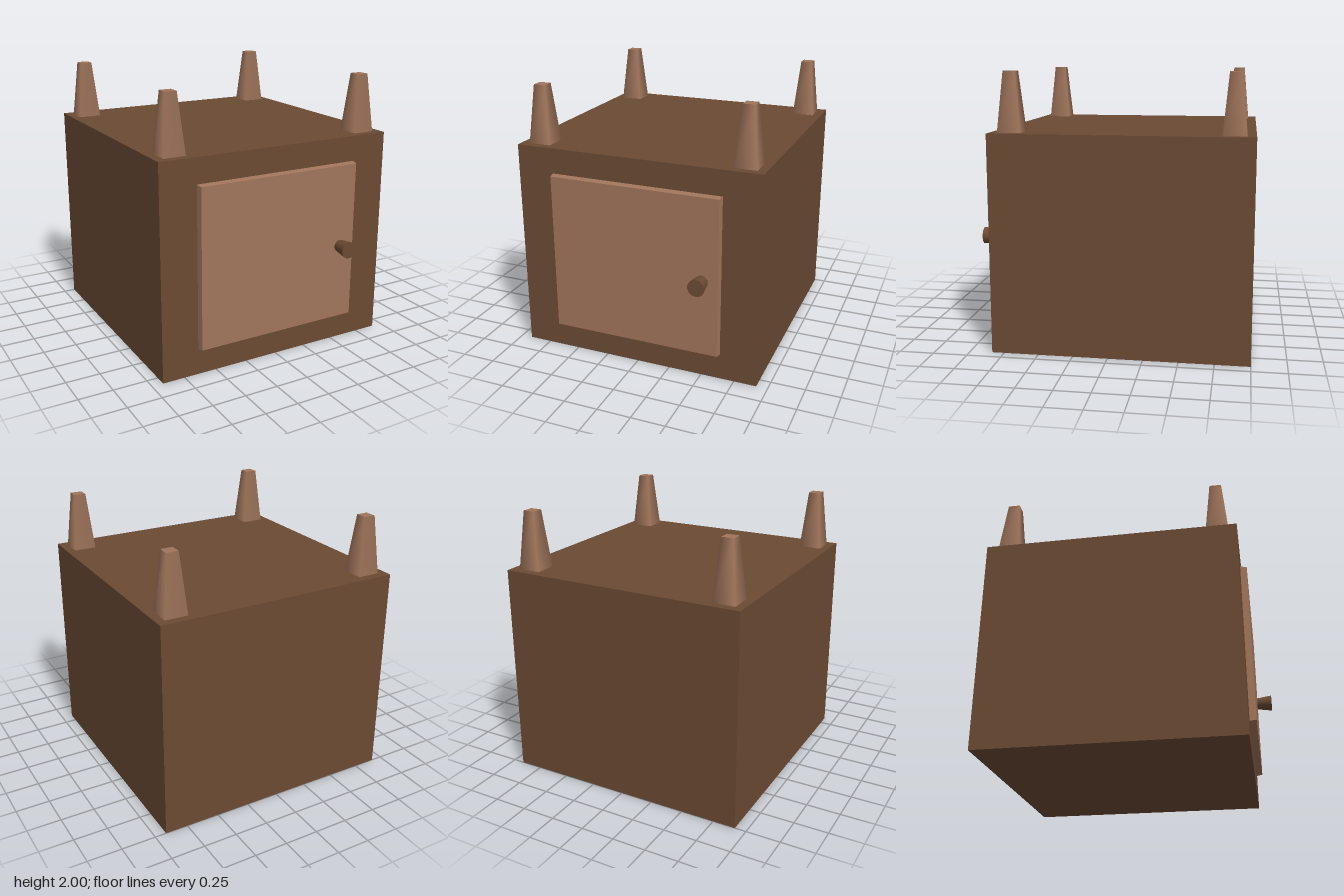
import * as THREE from 'three';

const material = (color) => new THREE.MeshStandardMaterial({ color });

function addPart(group, name, geometry, mat, x, y, z) {
  const mesh = new THREE.Mesh(geometry, mat);
  mesh.name = name;
  mesh.position.set(x, y, z);
  group.add(mesh);
  return mesh;
}

export function createModel() {
  const group = new THREE.Group();
  group.name = 'cabinet';
  const darkWood = material(0x6b4a33);
  const lightWood = material(0xa0755b);

  // Cabinet body
  addPart(group, 'body', new THREE.BoxGeometry(1.834, 1.575, 1.838), darkWood, 0, 0.7875, -0.081);

  // Door panel, its front face slightly smaller than its back
  const door = new THREE.BoxGeometry(1.284, 1.196, 0.047);
  const p = door.attributes.position;
  for (let i = 0; i < p.count; i++) {
    if (p.getZ(i) > 0) {
      p.setX(i, p.getX(i) - Math.sign(p.getX(i)) * 0.008);
      p.setY(i, p.getY(i) - Math.sign(p.getY(i)) * 0.008);
    }
  }
  door.computeVertexNormals();
  addPart(group, 'door', door, lightWood, 0, 0.791, 0.8615);

  // Round knob, flaring towards the front
  const knob = new THREE.CylinderGeometry(0.062, 0.045, 0.115, 32);
  knob.rotateX(Math.PI / 2);
  addPart(group, 'doorKnob', knob, darkWood, 0.516, 0.768, 0.9425);

  // Four tapered square legs pointing up, softly shaded round the corners
  const leg = new THREE.CylinderGeometry(0.043 * Math.SQRT2, 0.083 * Math.SQRT2, 0.425, 4);
  leg.rotateY(Math.PI / 4);
  for (const [side, x] of [['Left', 0.772], ['Right', -0.772]]) {
    for (const [end, z] of [['front', 0.695], ['back', -0.855]]) {
      addPart(group, `${end}${side}Leg`, leg, lightWood, x, 1.7875, z);
    }
  }
  return group;
}
